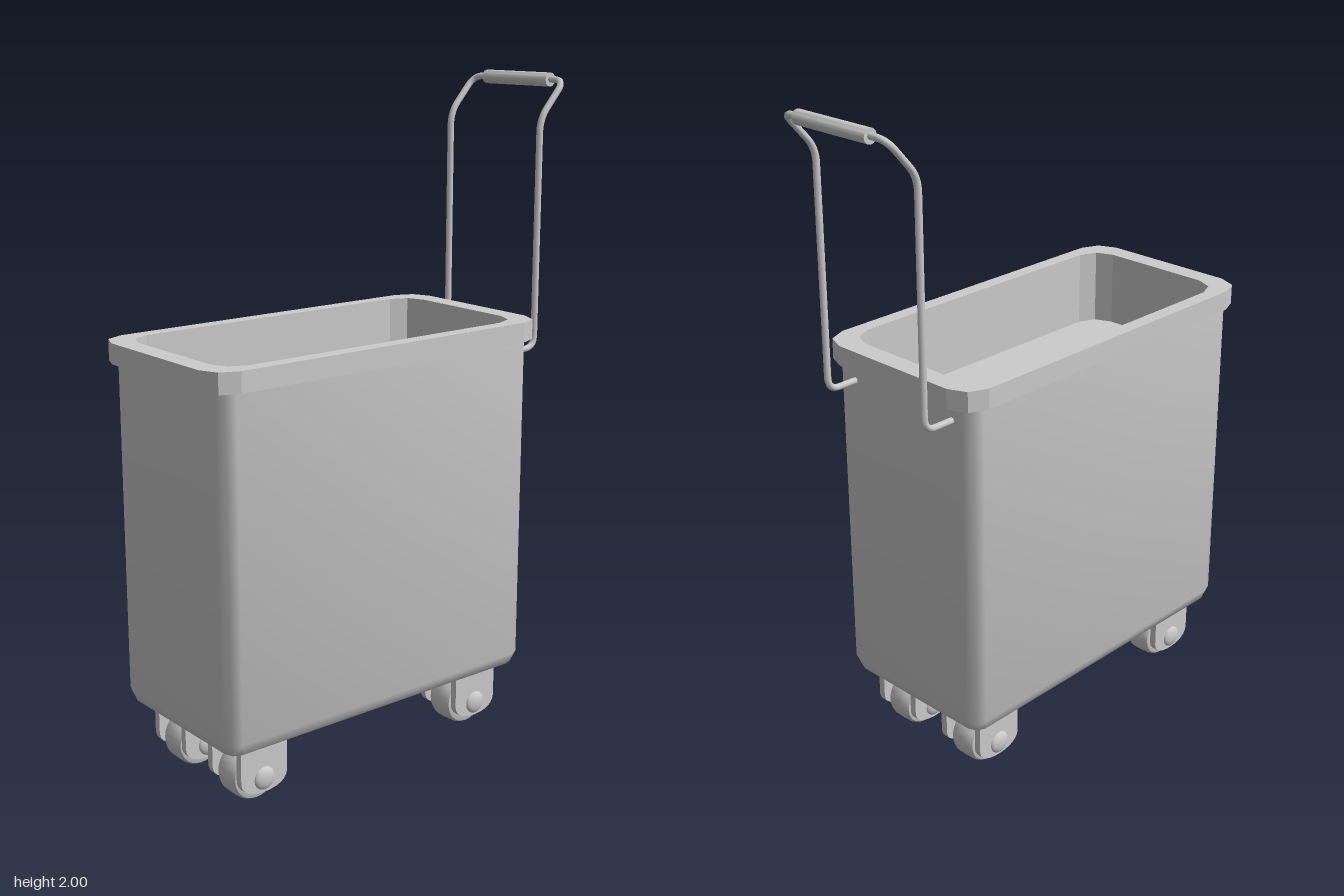
import * as THREE from 'three';
import { toCreasedNormals } from 'three/addons/utils/BufferGeometryUtils.js';

const CZ = 0.09; // middle of the bin along z

// One rounded-rectangle ring; corners have two segments each
function ring(hx, hz, r, y) {
  const corners = [[1, 1, 0], [-1, 1, 1], [-1, -1, 2], [1, -1, 3]];
  return corners.flatMap(([sx, sz, q]) => [0, 1, 2].map(k => {
    const a = (q + k / 2) * Math.PI / 2;
    return [sx * (hx - r) + r * Math.cos(a), y, CZ + sz * (hz - r) + r * Math.sin(a)];
  }));
}

// Skin a list of rings [halfX, halfZ, cornerRadius, y]
function loft(sections, crease) {
  const rings = sections.map(s => ring(...s));
  const pos = [];
  for (let i = 0; i < rings.length - 1; i++) {
    const n = rings[i].length;
    for (let j = 0; j < n; j++) {
      const k = (j + 1) % n;
      const a = rings[i][j], b = rings[i][k], c = rings[i + 1][k], d = rings[i + 1][j];
      pos.push(...a, ...d, ...b, ...b, ...d, ...c);
    }
  }
  const g = new THREE.BufferGeometry();
  g.setAttribute('position', new THREE.Float32BufferAttribute(pos, 3));
  g.computeVertexNormals();
  return toCreasedNormals(g, crease);
}

// Polyline with rounded bends
function bentPath(points, r) {
  const path = new THREE.CurvePath();
  let from = points[0];
  for (let i = 1; i < points.length - 1; i++) {
    const p = points[i];
    const toward = q => p.clone().add(q.clone().sub(p).setLength(r));
    const start = toward(points[i - 1]), end = toward(points[i + 1]);
    path.add(new THREE.LineCurve3(from, start));
    path.add(new THREE.QuadraticBezierCurve3(start, p, end));
    from = end;
  }
  path.add(new THREE.LineCurve3(from, points[points.length - 1]));
  return path;
}

export function createModel() {
  const model = new THREE.Group();
  model.name = 'wheeledBin';
  const mat = new THREE.MeshStandardMaterial({ color: 0xcccccc, side: THREE.DoubleSide });
  const add = (parent, name, geometry, x = 0, y = 0, z = 0) => {
    const m = new THREE.Mesh(geometry, mat);
    m.name = name;
    m.position.set(x, y, z);
    parent.add(m);
    return m;
  };

  // Body with softened bottom edge
  add(model, 'body', loft([
    [0, 0, 0, 0.19],
    [0.238, 0.515, 0.03, 0.19],
    [0.262, 0.54, 0.035, 0.2],
    [0.275, 0.553, 0.04, 0.235],
    [0.275, 0.553, 0.04, 1.235],
  ], 0.9));

  // Rim collar and the shallow tray inside it
  add(model, 'rimAndTray', loft([
    [0.27, 0.548, 0.04, 1.23],
    [0.295, 0.59, 0.08, 1.23],
    [0.295, 0.59, 0.08, 1.29],
    [0.25, 0.528, 0.075, 1.29],
    [0.25, 0.528, 0.075, 1.06],
    [0, 0, 0, 1.06],
  ], 0.3));

  // Bent push handle
  const V = (x, y, z) => new THREE.Vector3(x, y, z);
  const side = [[1.18, -0.44], [1.18, -0.562], [1.87, -0.562], [1.98, -0.66]];
  const points = [
    ...side.map(([y, z]) => V(0.195, y, z)),
    ...side.map(([y, z]) => V(-0.195, y, z)).reverse(),
  ];
  add(model, 'handle', new THREE.TubeGeometry(bentPath(points, 0.04), 220, 0.01, 8));
  add(model, 'grip', toCreasedNormals(new THREE.CylinderGeometry(0.021, 0.021, 0.275, 12), 0.9),
    0, 1.979, -0.66).rotation.z = Math.PI / 2;

  // Caster shapes: fork plate, rounded wheel, domed hub
  const plate = new THREE.Shape();
  plate.moveTo(-0.08, 0.2);
  plate.lineTo(-0.08, 0.085);
  plate.quadraticCurveTo(-0.075, 0.042, 0, 0.04);
  plate.quadraticCurveTo(0.075, 0.042, 0.08, 0.085);
  plate.lineTo(0.08, 0.2);
  plate.closePath();
  const plateGeo = new THREE.ExtrudeGeometry(plate, { depth: 0.022, bevelEnabled: false, curveSegments: 6 });
  plateGeo.translate(0, 0, -0.011).rotateY(Math.PI / 2);

  const tyre = [[0, -0.046], [0.06, -0.046], [0.073, -0.042], [0.079, -0.03], [0.08, 0],
    [0.079, 0.03], [0.073, 0.042], [0.06, 0.046], [0, 0.046]];
  const wheelGeo = toCreasedNormals(
    new THREE.LatheGeometry(tyre.map(p => new THREE.Vector2(...p)), 28), 0.8).rotateZ(Math.PI / 2);
  const axleGeo = new THREE.CylinderGeometry(0.03, 0.03, 0.15, 16).rotateZ(Math.PI / 2);
  const hubGeo = new THREE.SphereGeometry(0.035, 16, 10).scale(0.42, 1, 1);

  // Four casters
  for (const [end, z] of [['front', 0.494], ['back', -0.318]]) {
    for (const s of [1, -1]) {
      const caster = new THREE.Group();
      caster.name = `${end}${s > 0 ? 'Left' : 'Right'}Caster`;
      caster.position.set(s * 0.14, 0, z);
      add(caster, 'wheel', wheelGeo, 0, 0.08, 0);
      add(caster, 'axle', axleGeo, 0, 0.083, 0);
      for (const t of [1, -1]) {
        add(caster, 'forkPlate', plateGeo, t * 0.071, 0, 0);
        add(caster, 'hubCap', hubGeo, t * 0.081, 0.083, 0);
      }
      model.add(caster);
    }
  }
  return model;
}
